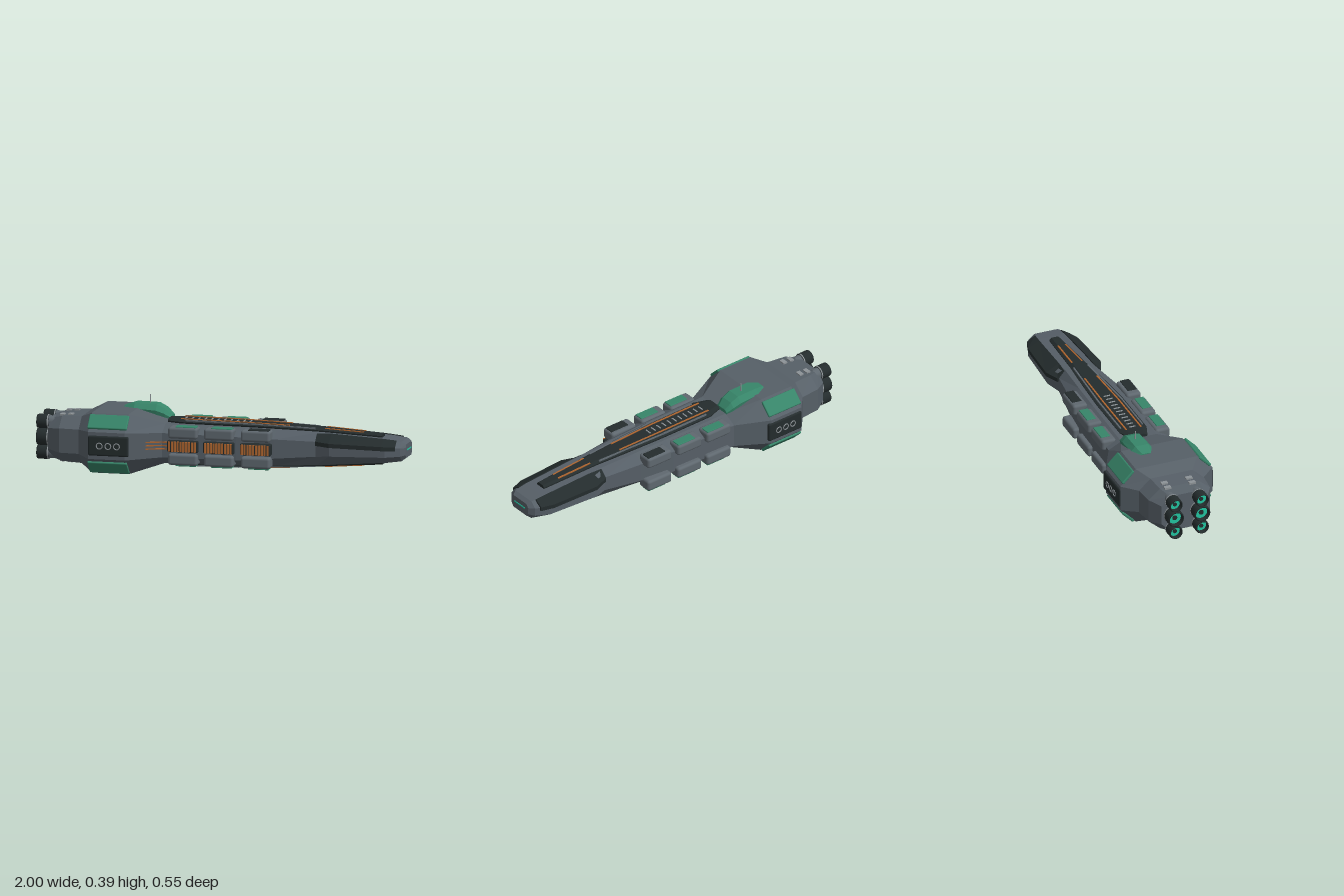
import * as THREE from 'three';
import { RoundedBoxGeometry } from 'three/addons/geometries/RoundedBoxGeometry.js';

const paint = (name, color) => Object.assign(new THREE.MeshStandardMaterial({ color }), { name });

export function createModel() {
  const hullGrey = paint('hull grey', 0x565f67);
  const podGrey = paint('pod grey', 0x5f686f);
  const dark = paint('dark armour', 0x242c2d);
  const green = paint('green panel', 0x378569);
  const orange = paint('copper orange', 0xb0662f);
  const light = paint('light metal', 0x8d9397);
  const teal = paint('teal glow', 0x22c4a0);

  const ship = new THREE.Group();
  ship.name = 'starship';

  const add = (name, geo, mat, x = 0, y = 0, z = 0, rx = 0) => {
    const m = new THREE.Mesh(geo, mat);
    m.name = name;
    m.position.set(x, y, z);
    m.rotation.x = rx;
    ship.add(m);
    return m;
  };
  const box = (name, mat, w, h, d, x, y, z, rx) => add(name, new THREE.BoxGeometry(w, h, d), mat, x, y, z, rx);
  const rbox = (name, mat, w, h, d, r, x, y, z, rx) =>
    add(name, new RoundedBoxGeometry(w, h, d, 2, r), mat, x, y, z, rx);

  // Straight bar between two points
  const beam = (name, mat, p, q, h, d) => {
    const a = new THREE.Vector3(...p), b = new THREE.Vector3(...q), dir = b.clone().sub(a);
    const m = box(name, mat, dir.length(), h, d, 0, 0, 0);
    m.position.copy(a).add(b).multiplyScalar(0.5);
    m.quaternion.setFromUnitVectors(new THREE.Vector3(1, 0, 0), dir.normalize());
    return m;
  };

  // Faceted skin over rings of [y, z] points, ordered top -> +z -> bottom -> -z
  const loft = (sections, flip = false) => {
    const v = [];
    const tri = (a, b, c) => (flip ? v.push(...a, ...c, ...b) : v.push(...a, ...b, ...c));
    const rings = sections.map(([x, pts]) => pts.map(([y, z]) => [x, y, z]));
    const n = rings[0].length, last = rings[rings.length - 1];
    for (let i = 0; i < rings.length - 1; i++) {
      for (let k = 0; k < n; k++) {
        const a = rings[i][k], b = rings[i][(k + 1) % n];
        const c = rings[i + 1][k], d = rings[i + 1][(k + 1) % n];
        tri(a, b, c);
        tri(b, d, c);
      }
    }
    for (let k = 1; k < n - 1; k++) {
      tri(rings[0][0], rings[0][k + 1], rings[0][k]);
      tri(last[0], last[k], last[k + 1]);
    }
    const g = new THREE.BufferGeometry();
    g.setAttribute('position', new THREE.Float32BufferAttribute(v, 3));
    g.computeVertexNormals();
    return g;
  };

  // Octagonal hull: x, bottom, top, half width, half flat top, side bottom, side top
  const stations = [
    [-0.93, 0.06, 0.27, 0.13, 0.08, 0.11, 0.22],
    [-0.86, 0.045, 0.285, 0.175, 0.11, 0.1, 0.23],
    [-0.75, 0.04, 0.29, 0.185, 0.12, 0.1, 0.23],
    [-0.68, 0.002, 0.323, 0.262, 0.175, 0.09, 0.235],
    [-0.48, 0.002, 0.323, 0.262, 0.175, 0.09, 0.235],
    [-0.3, 0.058, 0.268, 0.172, 0.1, 0.1, 0.23],
    [0.1, 0.062, 0.265, 0.165, 0.095, 0.1, 0.225],
    [0.3, 0.068, 0.26, 0.145, 0.09, 0.115, 0.218],
    [0.52, 0.08, 0.252, 0.115, 0.08, 0.13, 0.21],
    [0.6, 0.085, 0.248, 0.147, 0.08, 0.14, 0.205],
    [0.9, 0.108, 0.23, 0.135, 0.075, 0.145, 0.198],
    [0.975, 0.118, 0.222, 0.1, 0.068, 0.148, 0.193],
    [0.998, 0.135, 0.208, 0.07, 0.055, 0.152, 0.19],
  ];
  add('hull', loft(stations.map(([x, b, t, w, f, sb, st]) => [x,
    [[t, -f], [t, f], [st, w], [sb, w], [b, f], [b, -f], [sb, -w], [st, -w]]])), hullGrey);

  // Hull top (s = 1) or belly (s = -1) height at x, lifted outward by h
  const deck = (x, s, h = 0) => {
    const i = Math.max(1, stations.findIndex((p) => p[0] >= x));
    const a = stations[i - 1], b = stations[i], c = s > 0 ? 2 : 1;
    return a[c] + (b[c] - a[c]) * (x - a[0]) / (b[0] - a[0]) + s * h;
  };

  // Dark spines with rails and ribs, above and below
  for (const s of [1, -1]) {
    const spine = [[-0.3, 0.05], [-0.22, 0.078], [0.1, 0.078], [0.32, 0.065], [0.52, 0.048], [0.86, 0.03]];
    add('spine', loft(spine.map(([x, w]) => {
      const low = deck(x, s, -0.012), mid = deck(x, s, 0.008), top = deck(x, s, 0.018);
      return [x, [[top, -w * 0.6], [top, w * 0.6], [mid, w], [low, w * 0.9], [low, -w * 0.9], [mid, -w]]];
    }), s < 0), dark);
    for (const z of [1, -1]) {
      const rail = (name, mat, x0, x1, z0, z1, h) =>
        beam(name, mat, [x0, deck(x0, s, h), z * z0], [x1, deck(x1, s, h), z * z1], 0.008, 0.008);
      rail('spineRail', orange, -0.23, 0.09, 0.042, 0.042, 0.018);
      rail('spineRail', orange, 0.09, 0.36, 0.042, 0.035, 0.018);
      rail('bowRail', orange, 0.55, 0.76, 0.028, 0.021, 0.016);
      rail('spineEdge', podGrey, -0.2, 0.09, 0.062, 0.062, 0.015);
      rail('spineEdge', podGrey, 0.09, 0.5, 0.062, 0.04, 0.014);
    }
    for (let i = 0; i < 11; i++) {
      const x = -0.21 + i * 0.035;
      box('spineRib', light, 0.007, 0.006, 0.036, x, deck(x, s, 0.018), 0);
    }
  }

  // Bow armour on the upper shoulders: x, inner y, inner z, outer y, outer z
  const armour = [
    [0.52, 0.25, 0.085, 0.212, 0.125], [0.6, 0.252, 0.083, 0.21, 0.156],
    [0.88, 0.236, 0.078, 0.203, 0.143], [0.95, 0.229, 0.074, 0.2, 0.12],
  ];
  for (const s of [1, -1]) {
    add('bowArmour', loft(armour.map(([x, yi, zi, yo, zo]) => [x,
      [[yi, s * zi], [yo, s * zo], [yo - 0.022, s * zo], [yo - 0.022, s * (zo - 0.04)], [yi - 0.02, s * (zi - 0.005)]]]),
    s < 0), dark);
  }
  box('bowLight', teal, 0.008, 0.006, 0.09, 0.997, 0.176, 0);

  // Cargo pods in four rows of three, with outer plates
  const podX = [-0.185, 0.01, 0.21];
  podX.forEach((x, i) => {
    for (const z of [1, -1]) {
      rbox('upperPod', podGrey, 0.16, 0.062, 0.083, 0.015, x, 0.236, z * 0.153);
      rbox('lowerPod', podGrey, 0.16, 0.062, 0.083, 0.015, x, 0.094, z * 0.153);
      rbox('upperPodPlate', i < 2 ? green : dark, 0.112, 0.008, 0.052, 0.003, x + 0.015, 0.267, z * 0.158);
      rbox('lowerPodPlate', green, 0.112, 0.008, 0.052, 0.003, x + 0.015, 0.062, z * 0.158);
    }
    // Radiators on the front flank
    rbox('radiatorFrame', dark, 0.166, 0.062, 0.05, 0.008, x, 0.165, 0.17);
    for (let k = 0; k < 10; k++) {
      box('radiatorFin', orange, 0.01, 0.054, 0.014, x - 0.07 + k * 0.0155, 0.165, 0.196);
    }
  });
  for (const y of [0.147, 0.165, 0.183]) {
    beam('coolantPipe', orange, [-0.38, y, 0.21], [-0.3, y, 0.178], 0.006, 0.006);
    beam('coolantPipe', orange, [-0.3, y, 0.178], [-0.24, y, 0.182], 0.006, 0.006);
  }

  // Shoulder plates and side hatches on the stern block
  const slope = Math.atan2(0.088, 0.087);
  for (const z of [1, -1]) {
    rbox('shoulderPlate', green, 0.215, 0.016, 0.09, 0.006, -0.58, 0.283, z * 0.219, z * slope);
    rbox('lowerShoulderPlate', green, 0.215, 0.016, 0.09, 0.006, -0.58, 0.042, z * 0.219, -z * slope);
    rbox('sideHatch', dark, 0.22, 0.108, 0.024, 0.01, -0.57, 0.163, z * 0.258);
    for (const x of [-0.617, -0.57, -0.523]) {
      add('hatchRing', new THREE.TorusGeometry(0.016, 0.003, 6, 16), light, x, 0.163, z * 0.271);
    }
    for (const x of [-0.865, -0.82]) {
      box('sternVent', light, 0.024, 0.012, 0.036, x, deck(x, 1, 0.002), z * 0.07);
      box('sternVent', light, 0.024, 0.012, 0.036, x, deck(x, -1, 0.002), z * 0.07);
    }
  }

  // Offset bridge with mast
  const bridge = [
    [-0.56, 0.3, 0.328, 0.035, 0.02], [-0.5, 0.28, 0.346, 0.06, 0.036],
    [-0.38, 0.265, 0.344, 0.061, 0.036], [-0.335, 0.26, 0.322, 0.056, 0.034], [-0.3, 0.255, 0.288, 0.042, 0.026],
  ];
  add('bridge', loft(bridge.map(([x, b, t, w, f]) => {
    const m = b + (t - b) * 0.62, c = -0.067;
    return [x, [[t, c - f], [t, c + f], [m, c + w], [b, c + w * 0.85], [b, c - w * 0.85], [m, c - w]]];
  })), green);
  add('mast', new THREE.CylinderGeometry(0.003, 0.004, 0.055, 8), light, -0.425, 0.363, -0.071);

  // Six engines: bell, collar, open nozzle and glowing core
  const along = (geo) => geo.rotateZ(Math.PI / 2);
  for (const z of [0.075, -0.075]) {
    for (const [y, r] of [[0.247, 0.038], [0.165, 0.046], [0.083, 0.038]]) {
      add('engineCollar', along(new THREE.CylinderGeometry(r * 0.85, r * 0.85, 0.05, 20)), podGrey, -0.925, y, z);
      const profile = [[0.8, -0.03], [0.95, -0.03], [1, -0.02], [1, 0.027], [0.94, 0.034], [0.82, 0.034], [0.75, 0]];
      const bell = new THREE.LatheGeometry(profile.map(([a, h]) => new THREE.Vector2(a * r, h)), 20);
      const nozzle = add('engineNozzle', along(bell), dark, -0.966, y, z);
      nozzle.material = dark;
      add('engineBand', along(new THREE.CylinderGeometry(r * 1.02, r * 1.02, 0.006, 20)), light, -0.94, y, z);
      add('engineGlow', along(new THREE.CylinderGeometry(r * 0.78, r * 0.78, 0.008, 20)), teal, -0.972, y, z);
      add('engineHub', along(new THREE.CylinderGeometry(r * 0.3, r * 0.3, 0.012, 12)), dark, -0.975, y, z);
    }
  }
  return ship;
}
